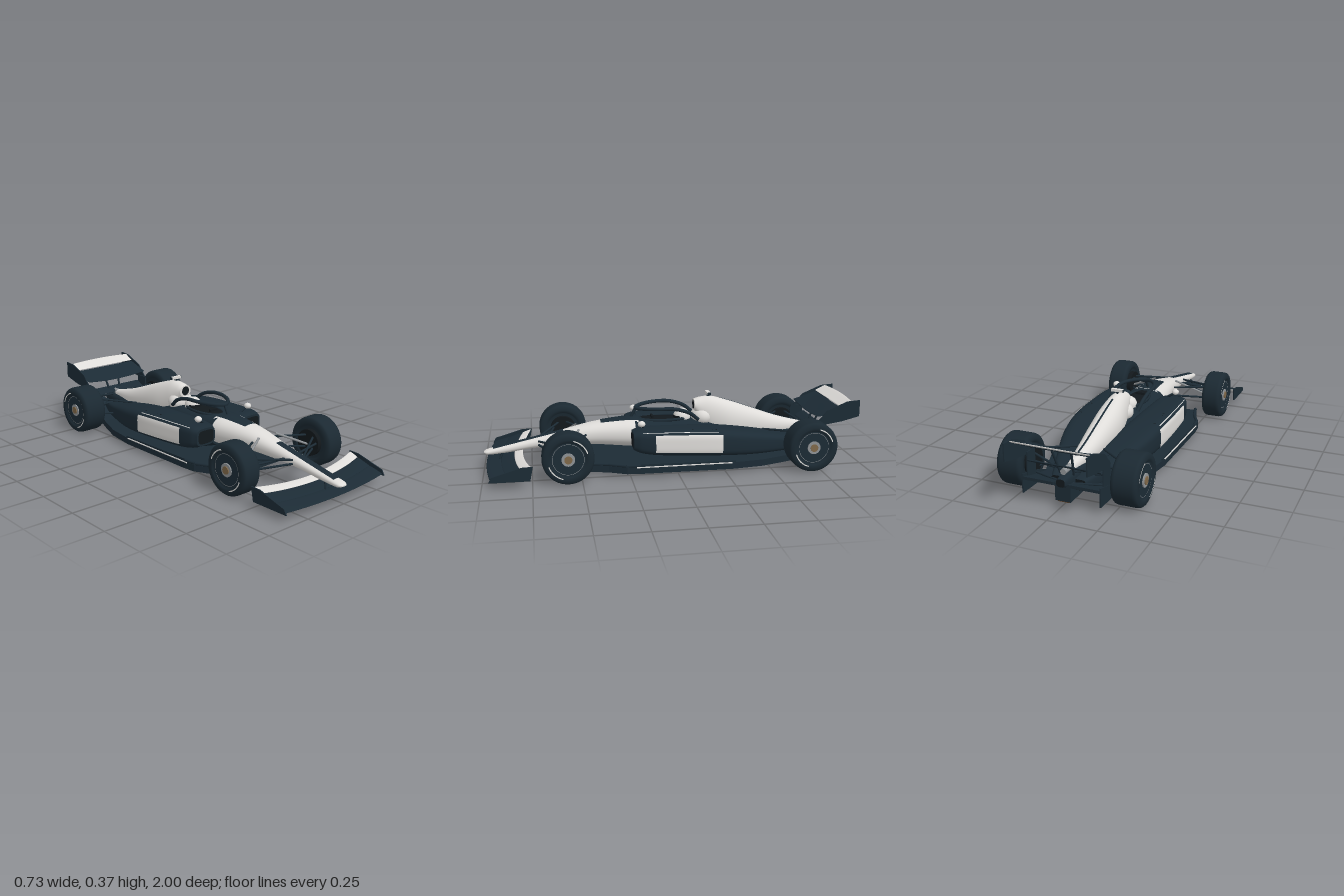
import * as THREE from 'three';
import { ParametricGeometry } from 'three/addons/geometries/ParametricGeometry.js';

const V = (x, y, z) => new THREE.Vector3(x, y, z);
const lerp = THREE.MathUtils.lerp;
function mat(name, color, side = THREE.FrontSide) {
  const m = new THREE.MeshStandardMaterial({ color, side });
  m.name = name;
  return m;
}

// Sections are [z, centreX, bottomY, topY, halfWidth], listed from back to front; smooth in between
function sectionAt(S, z) {
  let i = 0;
  while (i < S.length - 2 && z > S[i + 1][0]) i++;
  const a = S[i], b = S[i + 1], d = b[0] - a[0], t = (z - a[0]) / d;
  const slope = (k, c) => {
    const p = S[Math.max(k - 1, 0)], q = S[Math.min(k + 1, S.length - 1)];
    return (q[c] - p[c]) / (q[0] - p[0]);
  };
  return [1, 2, 3, 4].map(c => {
    const t2 = t * t, t3 = t2 * t;
    return a[c] * (2 * t3 - 3 * t2 + 1) + b[c] * (3 * t2 - 2 * t3)
      + d * (slope(i, c) * (t3 - 2 * t2 + t) + slope(i + 1, c) * (t3 - t2));
  });
}
const pw = (v, e) => Math.sign(v) * Math.pow(Math.abs(v), e);
function skin(S, n, z, a, off, out) {
  const [cx, y0, y1, w] = sectionAt(S, z);
  return out.set(cx + (w + off) * pw(Math.cos(a), 2 / n),
    (y0 + y1) / 2 + ((y1 - y0) / 2 + off) * pw(Math.sin(a), 2 / n), z);
}

export function createModel() {
  const car = new THREE.Group();
  car.name = 'racingCar';
  const dark = mat('dark navy', 0x1c2b35, THREE.DoubleSide);
  const white = mat('off white', 0xdedcd9, THREE.DoubleSide);
  const rubber = mat('tyre rubber', 0x1b2932);
  const black = mat('black', 0x12181c, THREE.DoubleSide);
  const metal = mat('grey metal', 0x8f9396);
  const wood = mat('plank brown', 0x5e4026);
  const gold = mat('hub bronze', 0x80694a);

  const add = (name, geo, m, x = 0, y = 0, z = 0) => {
    const mesh = new THREE.Mesh(geo, m);
    mesh.name = name;
    mesh.position.set(x, y, z);
    car.add(mesh);
    return mesh;
  };
  // Adds a part on the left and its reflection on the right
  const pair = (name, geo, m) => {
    add(name + 'Left', geo, m);
    const g = geo.clone().scale(-1, 1, 1);
    if (!g.index) g.setIndex([...Array(g.attributes.position.count).keys()]);
    const ix = g.index.array;
    for (let i = 0; i < ix.length; i += 3) [ix[i], ix[i + 1]] = [ix[i + 1], ix[i]];
    add(name + 'Right', g, m);
  };
  const loft = (S, n, steps = 40) => new ParametricGeometry((u, v, o) =>
    skin(S, n, lerp(S[0][0], S[S.length - 1][0], v), u * Math.PI * 2, 0, o), 40, steps);
  const cap = (S, n, z, front, off = 0) => {
    const pts = [], p = V(0, 0, 0);
    const [cx, y0, y1] = sectionAt(S, z);
    for (let i = 0; i < 40; i++) {
      skin(S, n, z, i / 40 * Math.PI * 2, off, p);
      pts.push(new THREE.Vector2(p.x - cx, p.y - (y0 + y1) / 2));
    }
    const g = new THREE.ShapeGeometry(new THREE.Shape(pts));
    if (!front) g.rotateY(Math.PI);
    return g.translate(cx, (y0 + y1) / 2, z);
  };
  // Paint that follows a body skin between two angles
  const patch = (S, n, z0, z1, range, off = 0.002) => new ParametricGeometry((u, v, o) => {
    const z = lerp(z0, z1, v), [a, b] = range(z);
    skin(S, n, z, lerp(a, b, u), off, o);
  }, 14, 24);
  const topBand = (S, n, half) => z => {
    const a = Math.acos(Math.min(1, Math.pow(half(z) / sectionAt(S, z)[3], n / 2)));
    return [a, Math.PI - a];
  };
  const rod = (a, b, r = 0.005) => new THREE.TubeGeometry(new THREE.LineCurve3(a, b), 1, r, 8);
  const box = (w, h, d, x, y, z) => new THREE.BoxGeometry(w, h, d).translate(x, y, z);
  // Upright plate from a (z, y) outline
  const plate = (pts, x, t = 0.006) => new THREE.ExtrudeGeometry(
    new THREE.Shape(pts.map(p => new THREE.Vector2(...p))), { depth: t, bevelEnabled: false })
    .rotateY(-Math.PI / 2).translate(x + t / 2, 0, 0);
  // Wing element: lead and trail give [y, z] for a span fraction of -1 to 1
  const wing = (span, lead, trail, thick) => new ParametricGeometry((u, v, o) => {
    const s = v * 2 - 1, a = u * Math.PI * 2, f = (1 + Math.cos(a)) / 2;
    const [y0, z0] = lead(s), [y1, z1] = trail(s);
    o.set(s * span, lerp(y0, y1, Math.pow(f, 1.25)) + thick * Math.sin(a), lerp(z0, z1, f));
  }, 20, 30);

  // Nose and front chassis
  const nose = [[0.18, 0, 0.09, 0.249, 0.108], [0.25, 0, 0.095, 0.247, 0.101], [0.43, 0, 0.11, 0.226, 0.073],
    [0.6, 0, 0.108, 0.187, 0.05], [0.75, 0, 0.1, 0.154, 0.04], [0.88, 0, 0.083, 0.126, 0.034],
    [0.97, 0, 0.076, 0.106, 0.03], [0.988, 0, 0.08, 0.1, 0.026], [0.998, 0, 0.087, 0.093, 0.014]];
  add('nose', loft(nose, 2.3, 70), white);
  add('noseTip', cap(nose, 2.3, 0.998, true), white);
  add('noseStripe', patch(nose, 2.3, 0.58, 0.95, topBand(nose, 2.3, () => 0.019)), dark);
  add('nosePanel', patch(nose, 2.3, 0.18, 0.38, topBand(nose, 2.3, z => lerp(0.055, 0.036, (z - 0.18) / 0.2))), dark);

  // Cockpit tub
  const tub = [[-0.3, 0, 0.04, 0.2, 0.08], [-0.13, 0, 0.04, 0.228, 0.1], [0.05, 0, 0.04, 0.236, 0.11], [0.2, 0, 0.085, 0.244, 0.106]];
  add('cockpitTub', loft(tub, 3), dark);
  add('tubFront', cap(tub, 3, 0.2, true), dark);
  add('cockpitOpening', patch(tub, 3, -0.07, 0.16,
    topBand(tub, 3, z => 0.058 * Math.sqrt(Math.max(0.01, 1 - ((z - 0.045) / 0.12) ** 2)))), black);
  const rim = new THREE.TorusGeometry(1, 0.1, 8, 40).rotateX(Math.PI / 2).scale(0.064, 0.08, 0.13).translate(0, 0.236, 0.035);
  add('cockpitRim', rim, dark);
  add('steeringWheel', box(0.05, 0.025, 0.012, 0, 0.24, 0.1), black);

  // Driver helmet
  add('helmet', new THREE.SphereGeometry(0.046, 28, 20), white, 0, 0.238, -0.065);
  add('visor', new THREE.SphereGeometry(0.0475, 24, 8, Math.PI * 0.12, Math.PI * 0.76, 1.35, 0.4), black, 0, 0.238, -0.065);

  // Engine cover with air intake
  const cover = [[-0.77, 0, 0.135, 0.175, 0.018], [-0.6, 0, 0.11, 0.219, 0.046], [-0.45, 0, 0.1, 0.272, 0.063],
    [-0.32, 0, 0.1, 0.318, 0.071], [-0.22, 0, 0.14, 0.346, 0.06], [-0.16, 0, 0.215, 0.342, 0.047], [-0.13, 0, 0.27, 0.333, 0.038]];
  add('engineCover', loft(cover, 2.1, 60), white);
  add('coverTail', cap(cover, 2.1, -0.77, false), black);
  add('intakeLip', cap(cover, 2.1, -0.13, true), white);
  add('airIntake', new THREE.CircleGeometry(0.025, 28), black, 0, 0.303, -0.128);
  add('spineStripe', patch(cover, 2.1, -0.7, -0.27, topBand(cover, 2.1, () => 0.005)), dark);
  add('headrest', new THREE.SphereGeometry(1, 24, 16).scale(0.072, 0.055, 0.06), white, 0, 0.238, -0.175);
  add('cameraPost', box(0.008, 0.025, 0.015, 0, 0.349, -0.21), dark);
  add('cameraPod', box(0.066, 0.014, 0.018, 0, 0.363, -0.21), white);
  pair('cameraPodEnd', box(0.003, 0.015, 0.019, 0.034, 0.363, -0.21), dark);

  // Halo
  const half = [[0.083, 0.238, -0.14], [0.092, 0.278, -0.09], [0.096, 0.303, -0.01], [0.09, 0.305, 0.08], [0.05, 0.301, 0.16]];
  const hoop = [...half.map(p => V(...p)), V(0, 0.297, 0.19), ...half.map(p => V(-p[0], p[1], p[2])).reverse()];
  add('haloHoop', new THREE.TubeGeometry(new THREE.CatmullRomCurve3(hoop), 60, 0.01, 10), dark);
  add('haloPillar', rod(V(0, 0.298, 0.188), V(0, 0.235, 0.22), 0.008), dark);

  // Sidepods
  const pod = [[-0.78, 0.055, 0.06, 0.115, 0.035], [-0.6, 0.088, 0.055, 0.145, 0.07], [-0.4, 0.13, 0.06, 0.186, 0.095],
    [-0.2, 0.158, 0.072, 0.216, 0.097], [0.1, 0.165, 0.09, 0.225, 0.088], [0.19, 0.165, 0.105, 0.222, 0.078], [0.225, 0.165, 0.12, 0.212, 0.062]];
  pair('sidepod', loft(pod, 4, 50), dark);
  pair('sidepodFront', cap(pod, 4, 0.225, true), dark);
  pair('sidepodInlet', cap(pod, 4, 0.225, true, -0.01).translate(0, 0, 0.002), black);
  pair('sidepodTail', cap(pod, 4, -0.78, false), black);
  pair('sidePanel', patch(pod, 4, -0.24, 0.115, () => [-0.4, 0.5]), white);
  pair('sidePinstripe', patch(pod, 4, -0.22, 0.18, () => [0.78, 0.86]), white);
  for (let i = 0; i < 6; i++)
    pair('louvre' + i, box(0.04, 0.006, 0.008, 0, 0, 0).rotateY(-0.3).translate(0.195, 0.218 - i * 0.0015, -0.09 - i * 0.025), black);

  // Mirrors
  pair('mirror', new THREE.SphereGeometry(1, 20, 14).scale(0.019, 0.016, 0.02).translate(0.178, 0.252, 0.18), white);
  pair('mirrorStay', rod(V(0.172, 0.246, 0.172), V(0.11, 0.205, 0.165), 0.007), dark);

  // Floor and plank
  const edge = [[0.215, 0.455], [0.24, 0.36], [0.285, 0.27], [0.292, 0.2], [0.292, -0.28], [0.268, -0.45], [0.23, -0.56], [0.2, -0.64]];
  const outline = [...edge, ...edge.map(p => [-p[0], p[1]]).reverse()];
  const floor = new THREE.ExtrudeGeometry(new THREE.Shape(outline.map(p => new THREE.Vector2(...p))), { depth: 0.035, bevelEnabled: false });
  add('floor', floor.rotateX(Math.PI / 2).translate(0, 0.054, 0), dark);
  add('plank', box(0.06, 0.006, 1.28, 0, 0.017, -0.195), wood);
  pair('floorEdgeLine', box(0.005, 0.005, 0.5, 0.291, 0.053, -0.03), white);
  pair('floorEdgeWing', plate([[0.26, 0.03], [-0.3, 0.03], [-0.3, 0.062], [0.2, 0.068]], 0.284), dark);
  // Raised rim along the front corner of the floor
  edge.slice(0, 3).forEach(([x, z], i) =>
    pair('floorCornerRim' + i, rod(V(x - 0.008, 0.06, z), V(edge[i + 1][0] - 0.008, 0.06, edge[i + 1][1]), 0.009), dark));

  // Diffuser tunnels, keel and gearbox
  pair('diffuserTunnel', plate([[-0.62, 0.022], [-0.62, 0.054], [-0.75, 0.085], [-0.86, 0.12], [-0.86, 0.105], [-0.75, 0.062]], 0.12, 0.16), dark);
  add('diffuserKeel', plate([[-0.62, 0.02], [-0.84, 0.02], [-0.84, 0.11], [-0.62, 0.06]], 0, 0.08), dark);
  pair('diffuserFence', plate([[-0.62, 0.025], [-0.86, 0.035], [-0.86, 0.132], [-0.7, 0.09], [-0.62, 0.054]], 0.2), dark);
  const gearbox = [[-0.86, 0, 0.1, 0.14, 0.022], [-0.75, 0, 0.06, 0.155, 0.04], [-0.5, 0, 0.04, 0.16, 0.06]];
  add('gearbox', loft(gearbox, 3), dark);
  add('gearboxEnd', cap(gearbox, 3, -0.86, false), black);
  add('exhaust', new THREE.CylinderGeometry(0.015, 0.015, 0.07, 20).rotateX(Math.PI / 2), metal, 0, 0.165, -0.795);

  // Front wing
  const front = f => s => [lerp(0.042, lerp(0.083, 0.103, s * s), Math.pow(f, 1.2)), lerp(0.985 - 0.03 * s * s, 0.795 - 0.045 * s * s, f)];
  [[0, 0.4], [0.39, 0.76], [0.765, 1]].forEach(([a, b], i) =>
    add('frontWingElement' + i, wing(0.352, front(a), front(b), 0.004), i === 2 ? white : dark));
  pair('frontEndplate', plate([[0.965, 0.035], [0.76, 0.035], [0.745, 0.108], [0.8, 0.106], [0.95, 0.062]], 0.354), dark);
  pair('frontWingPylon', rod(V(0.02, 0.09, 0.9), V(0.034, 0.045, 0.92), 0.006), dark);

  // Rear wing
  add('rearMainPlane', wing(0.203, s => [0.245 + 0.012 * s * s, -0.765], () => [0.298, -0.898], 0.005), dark);
  add('rearFlap', wing(0.203, () => [0.305, -0.894], s => [0.337 - 0.004 * s * s, -0.965 + 0.012 * s * s], 0.004), white);
  add('beamWing', wing(0.19, () => [0.165, -0.77], () => [0.19, -0.825], 0.005), dark);
  pair('rearEndplate', plate([[-0.757, 0.215], [-0.8, 0.21], [-0.9, 0.225], [-1, 0.25], [-1, 0.338], [-0.93, 0.333], [-0.82, 0.287]], 0.205), dark);
  pair('lowerEndplate', plate([[-0.745, 0.225], [-0.74, 0.09], [-0.82, 0.1], [-0.815, 0.225]], 0.196), dark);
  pair('rearWingPylon', rod(V(0.035, 0.14, -0.79), V(0.05, 0.27, -0.84), 0.006), dark);

  // Wheels
  const wheel = (name, xIn, xOut, z) => {
    const R = 0.1315, w = xOut - xIn;
    const prof = [[0.02, 0.012], [0.084, 0.012], [0.09, 0.002], [0.105, 0], [0.122, 0.004], [0.129, 0.012], [R, 0.024]];
    const pts = [...prof, ...prof.map(p => [p[0], w - p[1]]).reverse()].map(p => new THREE.Vector2(...p));
    const side = (g, x) => g.rotateY(Math.PI / 2).translate(x, R, z);
    pair(name + 'Tyre', new THREE.LatheGeometry(pts, 56).rotateZ(-Math.PI / 2).translate(xIn, R, z), rubber);
    pair(name + 'Cover', side(new THREE.CircleGeometry(0.085, 40), xOut - 0.011), dark);
    pair(name + 'RimLine', side(new THREE.RingGeometry(0.078, 0.08, 48), xOut - 0.009), metal);
    for (const a of [0.3, 0.3 + Math.PI])
      pair(name + 'Marking', side(new THREE.RingGeometry(0.098, 0.104, 24, 1, a, 1), xOut + 0.001), white);
    const disc = (r, l, x) => new THREE.CylinderGeometry(r, r, l, 28).rotateZ(Math.PI / 2).translate(x, R, z);
    pair(name + 'HubRing', disc(0.034, 0.008, xOut - 0.009), metal);
    pair(name + 'HubNut', disc(0.02, 0.012, xOut - 0.006), gold);
    pair(name + 'Brake', disc(0.07, 0.03, xIn + 0.003), black);
  };
  wheel('front', 0.243, 0.354, 0.57);
  wheel('rear', 0.228, 0.363, -0.7);

  // Suspension: [from body, to wheel, material]
  [[[0.04, 0.145, 0.71], [0.25, 0.17, 0.59], dark], [[0.06, 0.175, 0.46], [0.25, 0.17, 0.56], dark],
    [[0.04, 0.125, 0.71], [0.25, 0.105, 0.59], dark], [[0.06, 0.125, 0.46], [0.25, 0.105, 0.56], dark],
    [[0.045, 0.14, 0.66], [0.25, 0.14, 0.62], dark], [[0.06, 0.205, 0.5], [0.25, 0.115, 0.57], metal],
    [[0.05, 0.16, -0.5], [0.24, 0.185, -0.68], dark], [[0.03, 0.15, -0.78], [0.24, 0.185, -0.71], dark],
    [[0.06, 0.1, -0.52], [0.24, 0.09, -0.68], dark], [[0.03, 0.1, -0.8], [0.24, 0.09, -0.72], dark],
    [[0.03, 0.12, -0.72], [0.24, 0.13, -0.7], dark]].forEach(([a, b, m], i) =>
    pair('suspensionArm' + i, rod(V(...a), V(...b), 0.006), m));

  return car;
}
